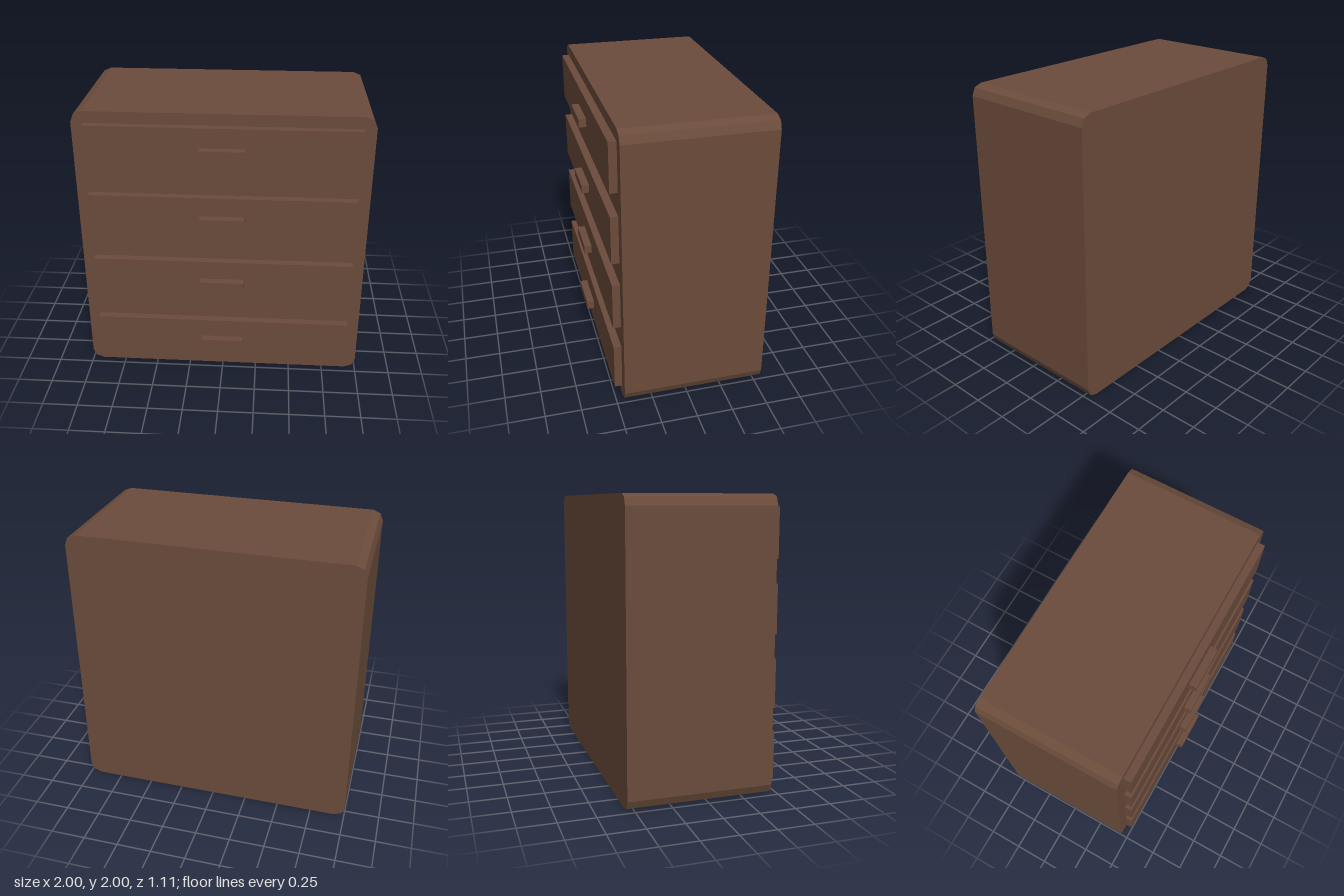
import * as THREE from 'three';

const wood = new THREE.MeshStandardMaterial({ color: 0x6b4c3b, flatShading: true });

function addBox(parent, name, size, position) {
  const mesh = new THREE.Mesh(new THREE.BoxGeometry(...size), wood);
  mesh.name = name;
  mesh.position.set(...position);
  parent.add(mesh);
}

// Rounded rectangle centred on the origin
function roundedRect(w, h, r) {
  const x = w / 2, y = h / 2;
  const s = new THREE.Shape();
  s.moveTo(-x + r, -y);
  s.lineTo(x - r, -y);
  s.absarc(x - r, -y + r, r, -Math.PI / 2, 0);
  s.lineTo(x, y - r);
  s.absarc(x - r, y - r, r, 0, Math.PI / 2);
  s.lineTo(-x + r, y);
  s.absarc(-x + r, y - r, r, Math.PI / 2, Math.PI);
  s.lineTo(-x, -y + r);
  s.absarc(-x + r, -y + r, r, Math.PI, Math.PI * 1.5);
  return s;
}

export function createModel() {
  const group = new THREE.Group();
  group.name = 'chestOfDrawers';

  const back = -0.553, front = 0.447, drawerFace = 0.5, handleFace = 0.553;

  // Cabinet: two facets per rounded corner (curveSegments is doubled for arcs)
  const body = new THREE.Mesh(
    new THREE.ExtrudeGeometry(roundedRect(2, 2, 0.075), {
      depth: front - back, bevelEnabled: false, curveSegments: 1,
    }), wood);
  body.name = 'cabinet';
  body.position.set(0, 1, back);
  group.add(body);

  // Four drawers, each with a bar handle
  for (let i = 0; i < 4; i++) {
    const drawer = new THREE.Group();
    drawer.name = `drawer${i + 1}`;
    drawer.position.y = 0.25 + i * 0.5;
    addBox(drawer, 'drawerFront', [1.834, 0.337, drawerFace - front], [0, 0, (front + drawerFace) / 2]);
    addBox(drawer, 'handle', [0.306, 0.06, handleFace - drawerFace], [0, 0, (drawerFace + handleFace) / 2]);
    group.add(drawer);
  }
  return group;
}
